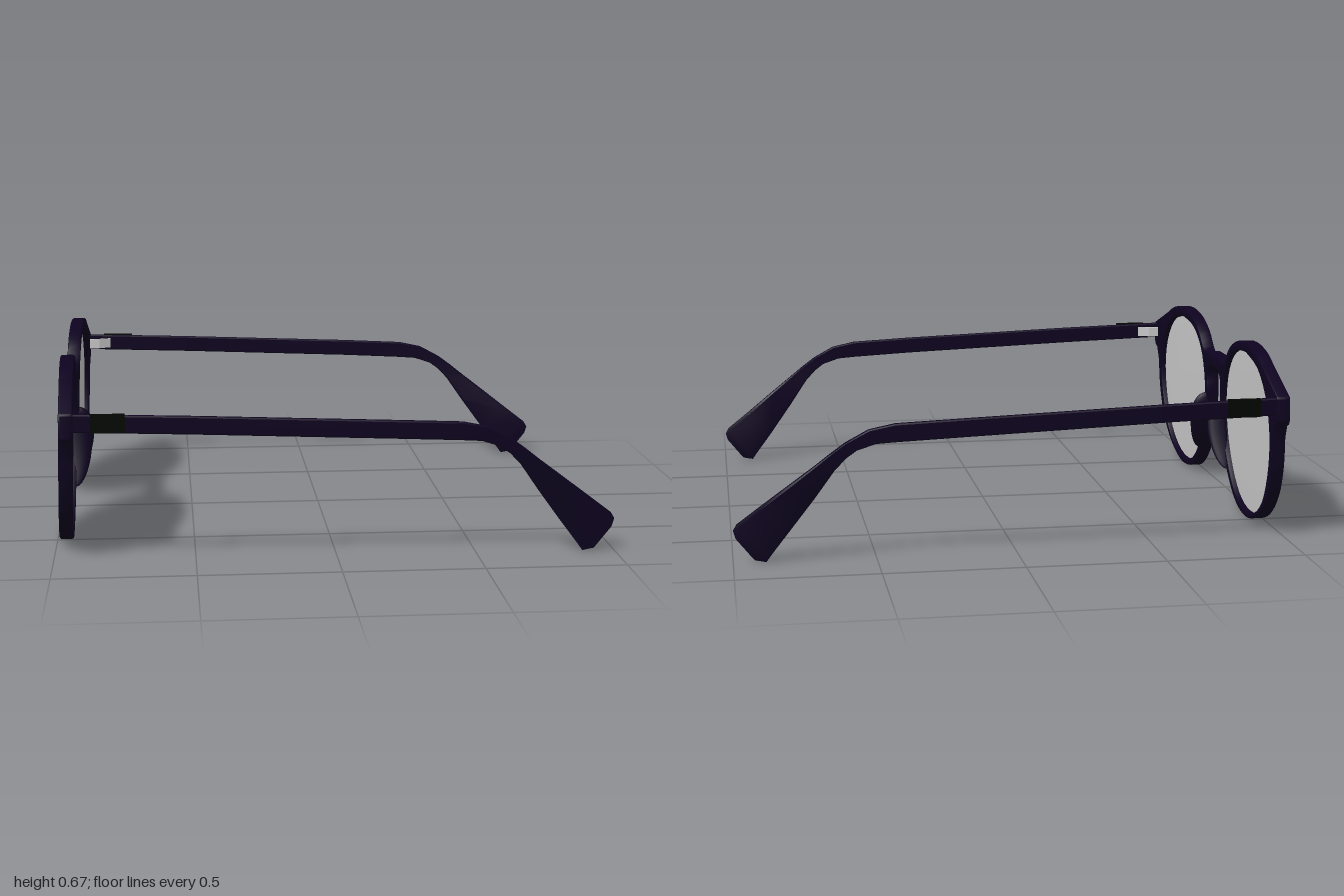
import * as THREE from 'three';
import { toCreasedNormals } from 'three/addons/utils/BufferGeometryUtils.js';

const frameMat = new THREE.MeshStandardMaterial({ color: 0x0e0320 });
const capMat = new THREE.MeshStandardMaterial({ color: 0x020602 });
const greyMat = new THREE.MeshStandardMaterial({ color: 0xcccccc });

const vecs = (list) => list.map(([a, b]) => new THREE.Vector2(a, b));
const smooth = (list, n) => new THREE.SplineCurve(vecs(list)).getPoints(n);
const mirrored = (pts) => pts.map((p) => new THREE.Vector2(-p.x, p.y)).reverse();

// Sideways profiles: first number is the distance from the middle, second the height
const upperEdge = [[0, 0.555], [0.07, 0.555], [0.14, 0.547], [0.22, 0.616], [0.315, 0.659],
  [0.443, 0.678], [0.576, 0.664], [0.67, 0.63]];
const endPiece = [[0.878, 0.553], [0.884, 0.545], [0.884, 0.465], [0.872, 0.448], [0.85, 0.44]];
const lowerEdge = [[0.826, 0.39], [0.81, 0.275], [0.755, 0.16], [0.656, 0.07], [0.55, 0.022], [0.443, 0.005],
  [0.32, 0.029], [0.205, 0.115], [0.125, 0.24], [0.092, 0.38], [0.095, 0.455], [0.07, 0.492], [0, 0.503]];
const opening = [[0.453, 0.64], [0.62, 0.605], [0.737, 0.51], [0.784, 0.385], [0.763, 0.25], [0.69, 0.125],
  [0.575, 0.05], [0.447, 0.03], [0.325, 0.055], [0.225, 0.133], [0.152, 0.25], [0.124, 0.385],
  [0.155, 0.505], [0.225, 0.583], [0.325, 0.627], [0.453, 0.64]];

// Stand a flat shape up across the face, with the slight tilt and wrap of the front
function faceForm(geo) {
  geo.rotateY(Math.PI / 2);
  const p = geo.attributes.position;
  for (let i = 0; i < p.count; i++) {
    const z = p.getZ(i) / 0.87;
    p.setX(i, p.getX(i) - 0.972 + 0.025 * p.getY(i) + 0.018 * z * z);
  }
  return toCreasedNormals(geo, 0.6);
}

function openingPoints(side) {
  const pts = smooth(opening, 48).slice(0, -1);
  return side > 0 ? pts : mirrored(pts);
}

function frontGeometry() {
  const half = [...smooth(upperEdge, 28), ...vecs(endPiece), ...smooth(lowerEdge, 48)];
  // Outline runs counter-clockwise, the openings clockwise
  const shape = new THREE.Shape([...half, ...mirrored(half).slice(1, -1)].reverse());
  for (const s of [1, -1]) shape.holes.push(new THREE.Path(openingPoints(s)));
  const geo = new THREE.ExtrudeGeometry(shape, {
    depth: 0.038, bevelSize: 0.005, bevelThickness: 0.006, bevelOffset: -0.005, bevelSegments: 2,
  });
  return faceForm(geo.translate(0, 0, -0.019));
}

// Lens slightly larger than its opening, so its edge sits inside the rim
function lensGeometry(side) {
  const centre = new THREE.Vector2(side * 0.453, 0.335);
  const outline = openingPoints(side).map((p) => p.sub(centre).multiplyScalar(1.015).add(centre));
  const geo = new THREE.ExtrudeGeometry(new THREE.Shape(outline), { depth: 0.01, bevelEnabled: false });
  return faceForm(geo.translate(0, 0, -0.005));
}

// Arm stations: top x, top y, bottom x, bottom y, distance from the middle
const armStations = [
  [-0.945, 0.549, -0.945, 0.487, 0.868], [-0.5, 0.535, -0.5, 0.472, 0.868], [0.2, 0.508, 0.2, 0.444, 0.867],
  [0.436, 0.497, 0.43, 0.433, 0.86], [0.527, 0.478, 0.503, 0.428, 0.856], [0.61, 0.433, 0.57, 0.406, 0.853],
  [0.66, 0.396, 0.605, 0.38, 0.85], [0.714, 0.353, 0.645, 0.338, 0.845], [0.8, 0.287, 0.714, 0.238, 0.83],
  [0.91, 0.202, 0.8, 0.12, 0.808], [0.985, 0.144, 0.868, 0.03, 0.799], [0.998, 0.122, 0.885, 0.006, 0.798],
  [0.99, 0.095, 0.925, 0.014, 0.798],
];

// Chamfered rectangular section carried along the stations
function armGeometry(side) {
  const section = [[1, -0.6], [1, 0.6], [0.86, 1], [-0.86, 1], [-1, 0.6], [-1, -0.6], [-0.86, -1], [0.86, -1]];
  const n = section.length, last = armStations.length - 1;
  const pos = [], idx = [];
  armStations.forEach(([tx, ty, bx, by, z], i) => {
    const halfWidth = i < 9 ? 0.012 : 0.008;
    for (const [v, w] of section) {
      const t = (1 - v) / 2;
      pos.push(tx + (bx - tx) * t, ty + (by - ty) * t, side * z + w * halfWidth);
    }
  });
  for (let i = 0; i < last; i++) {
    for (let k = 0; k < n; k++) {
      const a = i * n + k, b = i * n + (k + 1) % n;
      idx.push(a, b, a + n, b, b + n, a + n);
    }
  }
  for (let k = 1; k < n - 1; k++) {
    idx.push(0, k + 1, k, last * n, last * n + k, last * n + k + 1);
  }
  const geo = new THREE.BufferGeometry();
  geo.setAttribute('position', new THREE.Float32BufferAttribute(pos, 3));
  geo.setIndex(idx);
  return toCreasedNormals(geo, 0.6);
}

// Rounded fin behind the rim, following its inner edge and narrowing to the back
function nosePadGeometry(side) {
  const geo = new THREE.SphereGeometry(1, 20, 16);
  const p = geo.attributes.position;
  for (let i = 0; i < p.count; i++) {
    const u = p.getX(i), v = p.getY(i);
    const y = 0.255 + 0.125 * v + 0.03 * (1 - v * v);
    const drop = Math.max(0, 0.38 - y);
    const x = -0.945 + (u > 0 ? 0.063 : 0.015) * u;
    p.setXYZ(i, x, y, side * (0.112 + 1.4 * drop * drop) + 0.022 * p.getZ(i));
  }
  geo.computeVertexNormals();
  return geo;
}

export function createModel() {
  const model = new THREE.Group();
  model.name = 'glasses';
  const add = (parent, name, geo, mat, x = 0, y = 0, z = 0) => {
    const mesh = new THREE.Mesh(geo, mat);
    mesh.name = name;
    mesh.position.set(x, y, z);
    parent.add(mesh);
    return mesh;
  };

  add(model, 'frontFrame', frontGeometry(), frameMat);

  for (const s of [1, -1]) {
    const label = s > 0 ? 'left' : 'right';
    add(model, label + 'Lens', lensGeometry(s), greyMat);
    add(model, label + 'NosePad', nosePadGeometry(s), frameMat);
    add(model, label + 'Arm', armGeometry(s), frameMat);

    // Metal hinge inside the corner and the dark cap on the outside of the arm
    const hinge = new THREE.Group();
    hinge.name = label + 'Hinge';
    model.add(hinge);
    const leaf = add(hinge, 'hingeLeaf', new THREE.BoxGeometry(0.06, 0.04, 0.006), greyMat, -0.853, 0.513, s * 0.85);
    leaf.rotation.y = -s * 0.4;
    add(hinge, 'hingePlate', new THREE.BoxGeometry(0.055, 0.04, 0.008), greyMat, -0.905, 0.513, s * 0.838);
    add(hinge, 'hingeCap', new THREE.BoxGeometry(0.12, 0.066, 0.012), capMat, -0.798, 0.516, s * 0.876);
  }
  return model;
}
